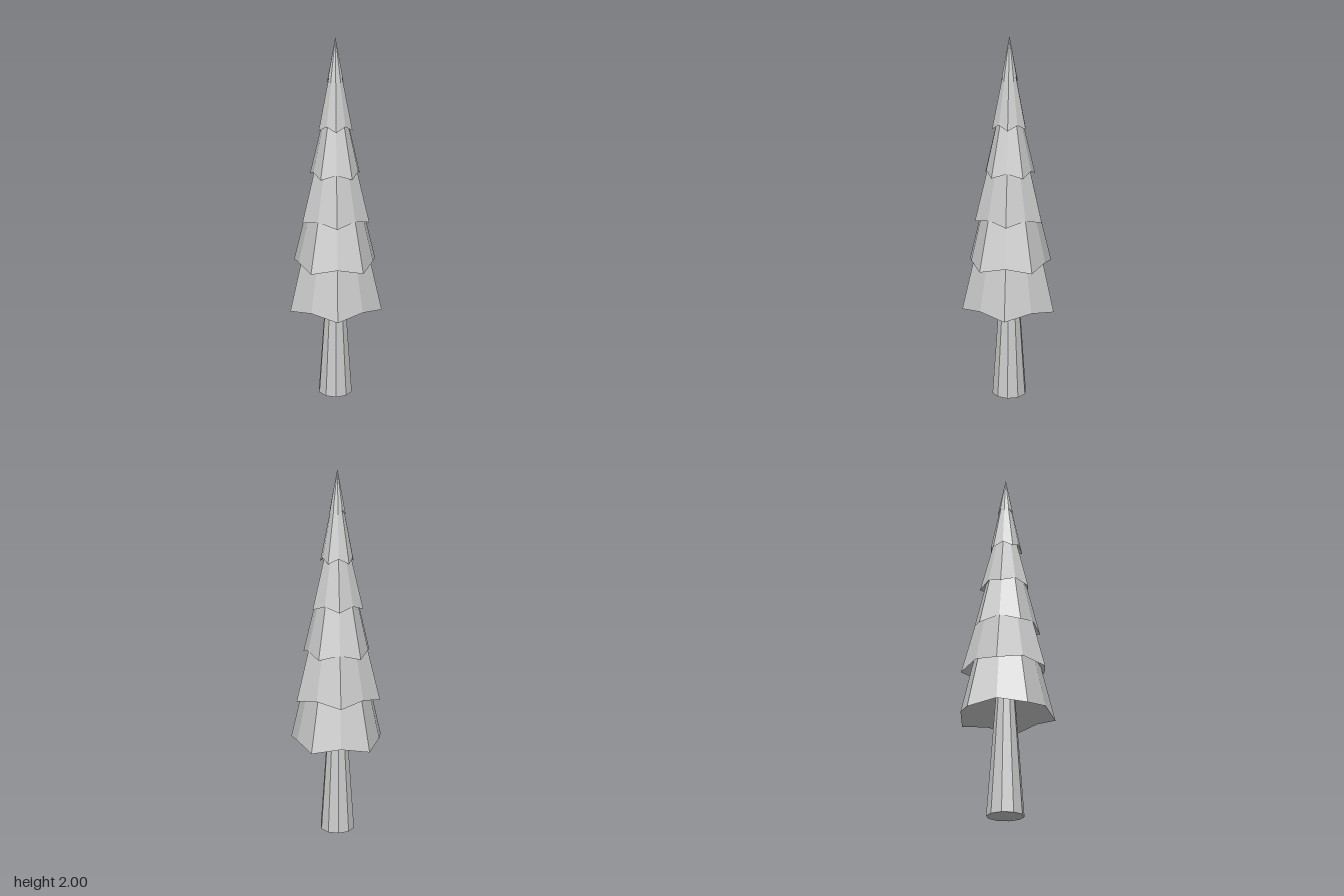
import * as THREE from 'three';

const SIDES = 10;
const AXIS_Z = -0.0135;

// Flat-shaded skin over a stack of rings; each ring is a function of side index giving [radius, y].
function skin(rings, material) {
  const pos = [];
  const point = (ring, i) => {
    const a = (i % SIDES) * Math.PI * 2 / SIDES;
    const [r, y] = ring(i % SIDES);
    return [r * Math.sin(a), y, r * Math.cos(a)];
  };
  for (let k = 0; k + 1 < rings.length; k++) {
    for (let i = 0; i < SIDES; i++) {
      const a = point(rings[k], i), b = point(rings[k], i + 1);
      const c = point(rings[k + 1], i + 1), d = point(rings[k + 1], i);
      const collapsed = rings[k + 1](i)[0] === 0;
      pos.push(...a, ...b, ...c);
      if (!collapsed) pos.push(...a, ...c, ...d);
    }
  }
  const geo = new THREE.BufferGeometry();
  geo.setAttribute('position', new THREE.Float32BufferAttribute(pos, 3));
  geo.computeVertexNormals();
  return new THREE.Mesh(geo, material);
}

export function createModel() {
  const model = new THREE.Group();
  model.name = 'coniferTree';
  const material = new THREE.MeshStandardMaterial({
    color: 0xcccccc, flatShading: true, side: THREE.DoubleSide,
  });

  // Tapered trunk, running up inside the lowest tier
  const trunk = new THREE.Mesh(new THREE.CylinderGeometry(0.047, 0.097, 0.7, SIDES), material);
  trunk.name = 'trunk';
  trunk.position.set(0, 0.35, AXIS_Z);
  model.add(trunk);

  // Foliage tiers: [tip radius, tip height, apex height]
  const tiers = [
    [0.265, 0.52, 1.62],
    [0.238, 0.77, 1.70],
    [0.190, 1.017, 1.78],
    [0.142, 1.267, 1.845],
    [0.094, 1.515, 1.97],
    [0.045, 1.765, 2.0],
  ];
  tiers.forEach(([radius, y, apex], n) => {
    // Drooping tips alternate with raised notches; successive tiers are staggered
    const rim = (i) => ((i + n) % 2 === 0 ? [radius, y] : [radius * 0.89, y + 0.027]);
    // Hollowed underside, closing on the trunk or inside the tier below
    const inner = n === 0 ? [0.05, y + 0.15] : [radius * 0.5, y + radius * 0.55];
    const tier = skin([() => inner, rim, () => [0, apex]], material);
    tier.name = `foliageTier${n + 1}`;
    tier.position.z = AXIS_Z;
    model.add(tier);
  });

  return model;
}
